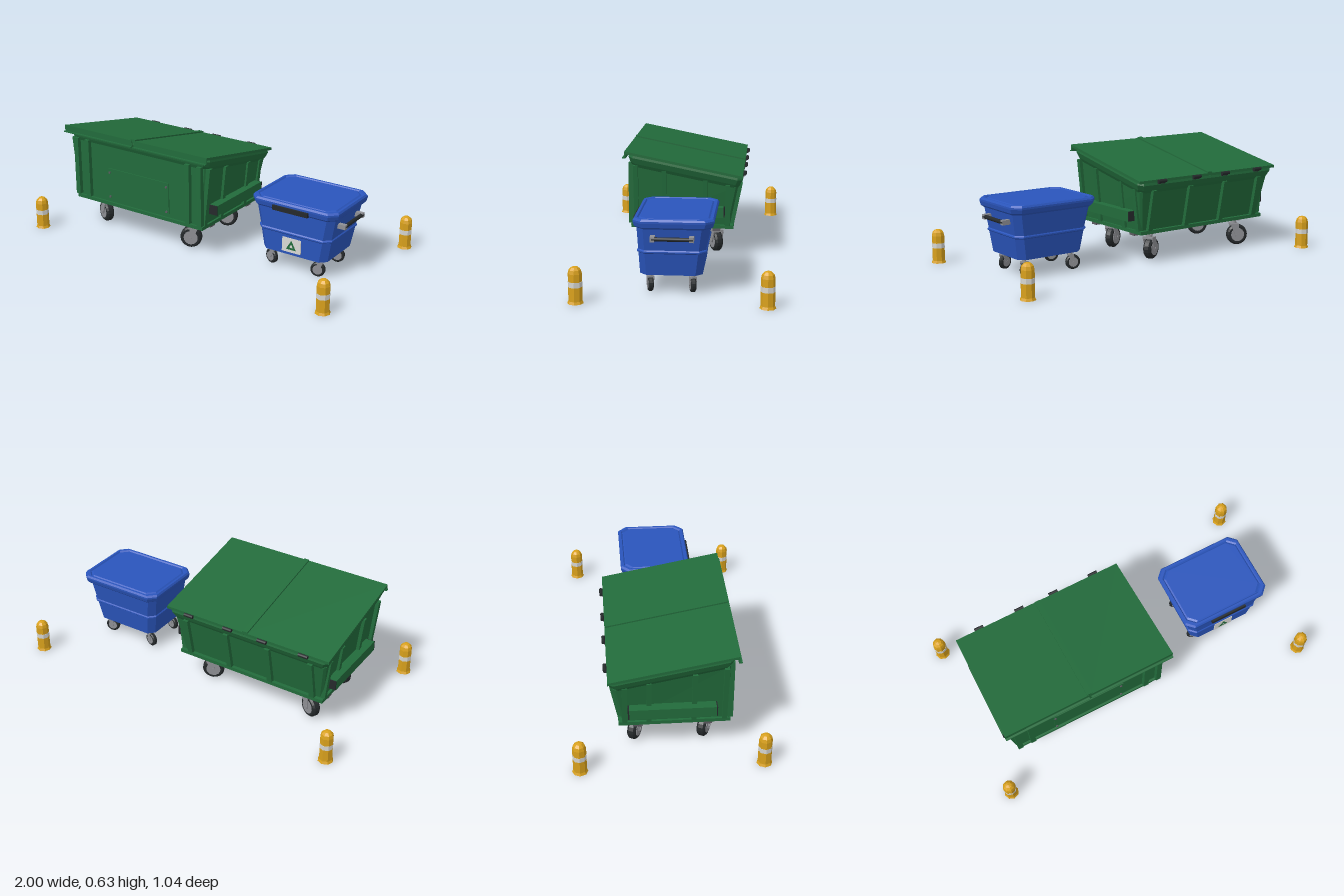
import * as THREE from 'three';

const mat = (name, color) => {
  const m = new THREE.MeshStandardMaterial({ color });
  m.name = name;
  return m;
};

export function createModel() {
  const green = mat('green paint', 0x226b3b);
  const blue = mat('blue plastic', 0x2a55bc);
  const yellow = mat('yellow paint', 0xd9a11c);
  const black = mat('black rubber', 0x25292b);
  const steel = mat('steel', 0x8e8f94);
  const rail = mat('dark steel', 0x5c5a60);
  const white = mat('white band', 0xd6d6d2);

  const add = (parent, name, geo, material, x = 0, y = 0, z = 0) => {
    const m = new THREE.Mesh(geo, material);
    m.name = name;
    m.position.set(x, y, z);
    parent.add(m);
    return m;
  };
  // box given by its limits
  const box = (parent, name, material, x0, x1, y0, y1, z0, z1) =>
    add(parent, name, new THREE.BoxGeometry(x1 - x0, y1 - y0, z1 - z0), material,
      (x0 + x1) / 2, (y0 + y1) / 2, (z0 + z1) / 2);
  const rodX = (r, len, n) => new THREE.CylinderGeometry(r, r, len, n).rotateZ(Math.PI / 2);
  const rodZ = (r, len, n) => new THREE.CylinderGeometry(r, r, len, n).rotateX(Math.PI / 2);

  // flat-shaded loft through chamfered rectangles [x0, x1, z0, z1, y, slope of y along z]
  const loft = (sections, c = 0) => {
    const rings = sections.map(([x0, x1, z0, z1, y, slope = 0]) => [
      [x1, z1 - c], [x1, z0 + c], [x1 - c, z0], [x0 + c, z0],
      [x0, z0 + c], [x0, z1 - c], [x0 + c, z1], [x1 - c, z1],
    ].map(([x, z]) => [x, y + slope * z, z]));
    const pos = [];
    const tri = (a, b, d) => pos.push(...a, ...b, ...d);
    const low = rings[0], high = rings[rings.length - 1];
    for (let i = 0; i < 8; i++) {
      const j = (i + 1) % 8;
      for (let k = 0; k + 1 < rings.length; k++) {
        const a = rings[k], b = rings[k + 1];
        tri(a[i], a[j], b[j]);
        tri(a[i], b[j], b[i]);
      }
      if (i > 0 && i < 7) {
        tri(high[0], high[i], high[j]);
        tri(low[0], low[j], low[i]);
      }
    }
    const g = new THREE.BufferGeometry();
    g.setAttribute('position', new THREE.Float32BufferAttribute(pos, 3));
    g.computeVertexNormals();
    return g;
  };

  // swivel caster with trailing wheel
  const caster = (parent, x, z, top, r, w, yaw) => {
    const g = new THREE.Group();
    g.name = 'caster';
    g.position.set(x, 0, z);
    g.rotation.y = yaw;
    parent.add(g);
    const trail = -r * 0.33, crown = r * 2.05;
    box(g, 'casterPlate', steel, -r * 0.5, r * 0.5, top - 0.008, top, -r * 0.45, r * 0.45);
    add(g, 'casterStem', new THREE.CylinderGeometry(r * 0.26, r * 0.3, top - crown, 12), steel, 0, (top + crown) / 2, 0);
    box(g, 'forkCrown', steel, -r * 0.4, r * 0.35, crown - r * 0.12, crown + r * 0.08, -w * 0.68, w * 0.68);
    for (const s of [-1, 1]) {
      const leg = new THREE.Shape([[-0.4, 1.98], [0.35, 1.98], [-0.12, 0.85], [-0.5, 0.85]]
        .map(([a, b]) => new THREE.Vector2(a * r, b * r)));
      add(g, 'forkLeg', new THREE.ExtrudeGeometry(leg, { depth: w * 0.12, bevelEnabled: false }), steel,
        0, 0, s * w * 0.62 - w * 0.06);
      add(g, 'wheelHub', rodZ(r * 0.66, w * 0.1, 16), steel, trail, r, s * w * 0.5);
    }
    const tread = [[0, -0.5], [0.85, -0.5], [1, -0.28], [1, 0.28], [0.85, 0.5], [0, 0.5]]
      .map(([a, b]) => new THREE.Vector2(a * r, b * w));
    const tire = new THREE.LatheGeometry(tread, 20).rotateX(Math.PI / 2).toNonIndexed();
    tire.computeVertexNormals();
    add(g, 'tire', tire, black, trail, r, 0);
    add(g, 'axle', rodZ(r * 0.14, w * 1.5, 8), steel, trail, r, 0);
  };

  const model = new THREE.Group();
  model.name = 'wasteContainers';

  // ---- large sloped container ----
  const big = new THREE.Group();
  big.name = 'largeContainer';
  model.add(big);
  const cx = -0.36, slope = 0.2;
  const half = (y) => 0.44 + 0.11 * (y - 0.19);
  const back = (y) => -0.25 - 0.2 * (y - 0.19);

  add(big, 'body', loft([
    [cx - 0.44, cx + 0.44, -0.25, 0.3, 0.18],
    [cx - 0.475, cx + 0.475, -0.298, 0.3, 0.478, slope],
  ], 0.012), green);
  add(big, 'rim', loft([
    [cx - 0.474, cx + 0.474, -0.296, 0.299, 0.47, slope],
    [cx - 0.486, cx + 0.486, -0.308, 0.31, 0.49, slope],
    [cx - 0.498, cx + 0.498, -0.322, 0.32, 0.522, slope],
    [cx - 0.495, cx + 0.495, -0.319, 0.317, 0.536, slope],
  ], 0.025), green);
  box(big, 'baseFlange', green, cx - 0.455, cx + 0.455, 0.172, 0.192, -0.273, 0.312);

  // vertical stiffeners
  for (const s of [-1, 1]) {
    for (const z of [0.28, 0.12, -0.115, -0.24]) {
      const top = 0.48 + slope * z;
      const span = (y) => {
        const a = cx + s * (half(y) - 0.01), b = cx + s * (half(y) + 0.018);
        return [Math.min(a, b), Math.max(a, b), z - 0.013, z + 0.013, y];
      };
      add(big, 'sideRib', loft([span(0.19), span(top)]), green);
    }
    for (const x of [0.36, 0.44]) {
      const xc = cx + s * x;
      box(big, 'frontRib', green, xc - 0.015, xc + 0.015, 0.198, 0.548, 0.295, 0.324);
    }
    for (const x of [0.13, 0.39]) {
      const xc = cx + s * x;
      const span = (y) => [xc - 0.015, xc + 0.015, back(y) - 0.025, back(y) + 0.01, y];
      add(big, 'backRib', loft([span(0.19), span(0.425)]), green);
    }
    // lifting pocket with dark ends
    const inner = cx + s * 0.44, outer = cx + s * 0.504;
    const x0 = Math.min(inner, outer), x1 = Math.max(inner, outer);
    box(big, 'liftPocket', green, x0, x1, 0.247, 0.306, -0.218, 0.232);
    for (const z of [-0.221, 0.235])
      box(big, 'pocketEnd', black, x0, x1, 0.249, 0.304, z - 0.003, z + 0.003);
  }

  // front plate with corner bolts
  box(big, 'frontPlate', green, -0.575, -0.14, 0.215, 0.4, 0.298, 0.306);
  for (const x of [-0.565, -0.155]) for (const y of [0.226, 0.376])
    add(big, 'plateBolt', rodZ(0.007, 0.008, 8), rail, x, y, 0.308);

  // two lid leaves with a turned-down front lip
  const profile = new THREE.Shape([
    [-0.325, 0.487], [0.34, 0.62], [0.34, 0.586], [0.352, 0.586],
    [0.352, 0.58], [0.333, 0.58], [0.333, 0.604], [-0.325, 0.472],
  ].map(([z, y]) => new THREE.Vector2(z, y)));
  for (const x1 of [cx - 0.006, cx + 0.505])
    add(big, 'lid', new THREE.ExtrudeGeometry(profile, { depth: 0.499, bevelEnabled: false })
      .rotateY(-Math.PI / 2), green, x1, 0, 0);
  add(big, 'lidSeam', loft([
    [cx - 0.016, cx + 0.016, -0.325, 0.337, 0.54, slope],
    [cx - 0.016, cx + 0.016, -0.325, 0.337, 0.56, slope],
  ]), green);
  for (const x of [-0.72, -0.47, -0.255, -0.005]) {
    add(big, 'hinge', rodX(0.01, 0.055, 10), black, x, 0.478, -0.334);
    box(big, 'hingeLeaf', black, x - 0.022, x + 0.022, 0.462, 0.482, -0.33, -0.318);
  }

  // undercarriage
  for (const z of [0.195, -0.175]) {
    box(big, 'baseRail', rail, -0.81, 0.085, 0.156, 0.173, z - 0.022, z + 0.022);
    caster(big, -0.685, z, 0.158, 0.062, 0.046, -0.44);
    caster(big, -0.04, z, 0.158, 0.062, 0.046, 0.44);
  }

  // ---- small wheeled bin ----
  const bin = new THREE.Group();
  bin.name = 'smallBin';
  model.add(bin);
  add(bin, 'binBody', loft([
    [0.396, 0.795, -0.145, 0.177, 0.105],
    [0.378, 0.815, -0.16, 0.182, 0.222],
    [0.371, 0.822, -0.167, 0.188, 0.228],
    [0.371, 0.822, -0.167, 0.188, 0.235],
    [0.376, 0.817, -0.163, 0.183, 0.241],
    [0.354, 0.84, -0.18, 0.188, 0.365],
  ], 0.035), blue);
  add(bin, 'binLid', loft([
    [0.348, 0.846, -0.19, 0.19, 0.358],
    [0.338, 0.856, -0.2, 0.2, 0.368],
    [0.333, 0.861, -0.207, 0.205, 0.39],
    [0.333, 0.861, -0.207, 0.205, 0.4],
    [0.34, 0.854, -0.2, 0.198, 0.41],
    [0.352, 0.842, -0.188, 0.186, 0.41],
    [0.358, 0.836, -0.182, 0.18, 0.403],
    [0.366, 0.828, -0.174, 0.172, 0.409],
  ], 0.042), blue);
  box(bin, 'frontGrip', black, 0.485, 0.703, 0.362, 0.388, 0.19, 0.216);

  // push handle on the left side
  add(bin, 'handleBar', rodX(0.011, 0.21, 12).rotateY(Math.PI / 2), black, 0.866, 0.313, 0);
  for (const z of [0.102, -0.095])
    box(bin, 'handleBracket', steel, 0.815, 0.876, 0.3, 0.326, z - 0.012, z + 0.012);

  // front label with a plain triangular mark
  const label = new THREE.Group();
  label.name = 'label';
  label.position.set(0.593, 0.165, 0.182);
  label.rotation.x = -0.043;
  bin.add(label);
  add(label, 'labelPlate', new THREE.BoxGeometry(0.116, 0.082, 0.006), white);
  const tri = (r) => [0, 1, 2].map((i) => {
    const a = Math.PI / 2 + i * Math.PI * 2 / 3;
    return new THREE.Vector2(Math.cos(a) * r, Math.sin(a) * r);
  });
  const mark = new THREE.Shape(tri(0.036));
  mark.holes.push(new THREE.Path(tri(0.013)));
  add(label, 'labelMark', new THREE.ShapeGeometry(mark), green, 0, -0.007, 0.0045);

  for (const z of [0.125, -0.095]) {
    caster(bin, 0.448, z, 0.107, 0.041, 0.026, -0.28);
    caster(bin, 0.744, z, 0.107, 0.041, 0.026, 0.28);
  }

  // ---- corner bollards ----
  const turned = (pts) => {
    const g = new THREE.LatheGeometry(pts.map(([r, y]) => new THREE.Vector2(r, y)), 8).toNonIndexed();
    g.computeVertexNormals();
    return g;
  };
  const post = turned([[0, 0], [0.042, 0], [0.036, 0.014], [0.036, 0.155], [0.031, 0.174], [0.018, 0.187], [0, 0.191]]);
  const band = turned([[0.036, 0.086], [0.0368, 0.086], [0.0368, 0.114], [0.036, 0.114]]);
  for (const x of [-0.957, 0.957]) for (const z of [-0.48, 0.478]) {
    const g = new THREE.Group();
    g.name = 'bollard';
    g.position.set(x, 0, z);
    add(g, 'bollardPost', post, yellow);
    add(g, 'bollardBand', band, white);
    model.add(g);
  }
  return model;
}
